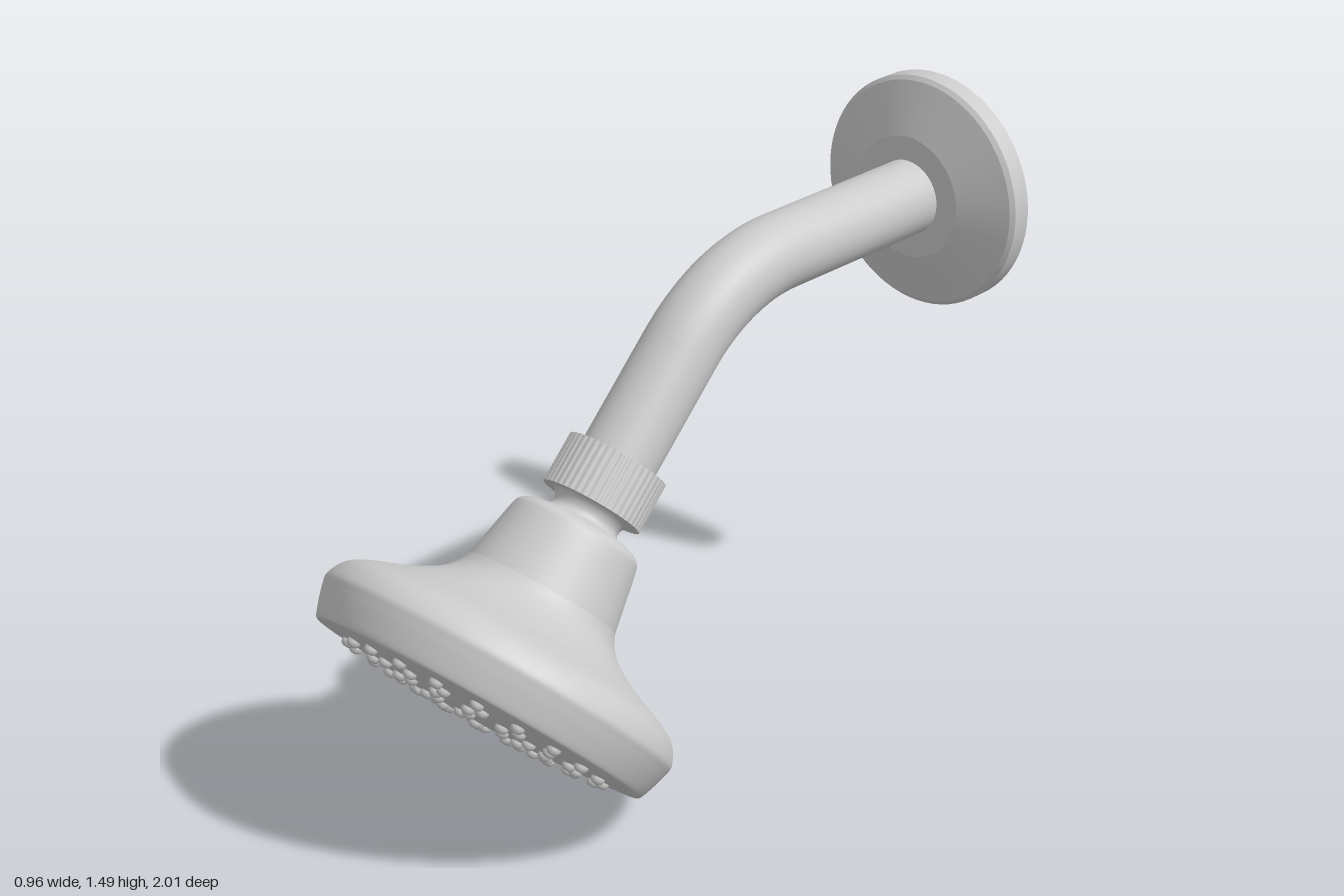
import * as THREE from 'three';
import { toCreasedNormals } from 'three/addons/utils/BufferGeometryUtils.js';

const material = new THREE.MeshStandardMaterial({ color: 0xcccccc });

function part(name, geometry, parent) {
  const mesh = new THREE.Mesh(geometry, material);
  mesh.name = name;
  parent.add(mesh);
  return mesh;
}

// Smooth turned shape from [radius, height] pairs, listed from bottom to top
function turned(profile, segments = 72) {
  return new THREE.LatheGeometry(profile.map(([r, h]) => new THREE.Vector2(r, h)), segments);
}

// Smooth run of profile points
function smooth(points, count) {
  const curve = new THREE.SplineCurve(points.map(([r, h]) => new THREE.Vector2(r, h)));
  return curve.getPoints(count).map((p) => [p.x, p.y]);
}

// Ring with fine, shallow grip ribs, running along +y from 0 to height
function ribbedRing(outer, inner, height, ribs) {
  const shape = new THREE.Shape();
  for (let i = 0; i < ribs * 4; i++) {
    const a = (i / (ribs * 4)) * Math.PI * 2;
    const r = i % 4 < 2 ? outer : outer - 0.002;
    if (i === 0) shape.moveTo(r, 0);
    else shape.lineTo(r * Math.cos(a), r * Math.sin(a));
  }
  shape.closePath();
  const hole = new THREE.Path();
  hole.absarc(0, 0, inner, 0, Math.PI * 2, true);
  shape.holes.push(hole);
  const geometry = new THREE.ExtrudeGeometry(shape, { depth: height, bevelEnabled: false, curveSegments: 32 });
  return geometry.rotateX(-Math.PI / 2);
}

// Depth of the domed spray face at a given radius
const faceDepth = (r) => -0.012 - 0.026 * (1 - (r / 0.437) ** 2);

export function createModel() {
  const model = new THREE.Group();
  model.name = 'showerHead';

  // Wall flange
  const flange = part('wallFlange', toCreasedNormals(turned([
    [0, 0], [0.313, 0], [0.313, 0.052], [0.302, 0.062], [0.165, 0.11], [0, 0.11],
  ]), 0.25), model);
  flange.rotation.x = Math.PI / 2;
  flange.position.set(0, 1.182, -1);

  // Bent supply arm
  const v = (y, z) => new THREE.Vector3(0, y, z);
  const path = new THREE.CurvePath();
  path.add(new THREE.LineCurve3(v(1.182, -0.92), v(1.182, -0.385)));
  path.add(new THREE.CubicBezierCurve3(v(1.182, -0.385), v(1.182, -0.247), v(1.127, -0.117), v(1.03, -0.02)));
  path.add(new THREE.LineCurve3(v(1.03, -0.02), v(0.715, 0.295)));
  part('supplyArm', new THREE.TubeGeometry(path, 60, 0.1, 40, false), model);

  // Tilted head: local +y runs back along the arm, the spray face looks along -y
  const head = new THREE.Group();
  head.name = 'sprayHead';
  head.position.set(0, 0.325, 0.685);
  head.rotation.x = -Math.PI / 4;
  model.add(head);

  // Flared bell with a tapered, round-shouldered collar
  part('bell', turned(smooth([
    [0.436, -0.012], [0.448, -0.01], [0.462, 0.025], [0.474, 0.065], [0.477, 0.095], [0.45, 0.141],
    [0.395, 0.172], [0.325, 0.2], [0.253, 0.24], [0.218, 0.275], [0.203, 0.305]], 44)), head);
  part('collar', turned(smooth([
    [0.203, 0.305], [0.188, 0.385], [0.173, 0.462], [0.164, 0.483], [0.146, 0.495], [0.12, 0.502], [0.085, 0.505],
  ], 28)), head);

  // Domed spray face
  part('sprayFace', turned([0, 0.08, 0.16, 0.24, 0.32, 0.38, 0.437].map((r) => [r, faceDepth(r)])), head);

  // Coved neck and ribbed nut
  part('neck', turned(smooth([
    [0.112, 0.495], [0.094, 0.51], [0.09, 0.525], [0.097, 0.542], [0.112, 0.555],
  ], 14)), head);
  part('couplingNut', ribbedRing(0.134, 0.098, 0.134, 44), head).position.y = 0.55;

  // Nozzles in concentric rings: radius, count, starting angle
  const nozzle = turned([
    [0, -0.017], [0.009, -0.016], [0.015, -0.012], [0.018, -0.004], [0.018, 0.012],
  ], 12);
  const rings = [[0.35, 20, -0.04], [0.28, 17, 0.1], [0.205, 14, 0.08], [0.125, 8, 0.2], [0.05, 1, Math.PI / 2]];
  const nozzles = new THREE.Group();
  nozzles.name = 'nozzles';
  head.add(nozzles);
  for (const [radius, count, start] of rings) {
    for (let i = 0; i < count; i++) {
      const a = start - (i / count) * Math.PI * 2;
      part('nozzle', nozzle, nozzles).position.set(radius * Math.cos(a), faceDepth(radius), radius * Math.sin(a));
    }
  }
  return model;
}
